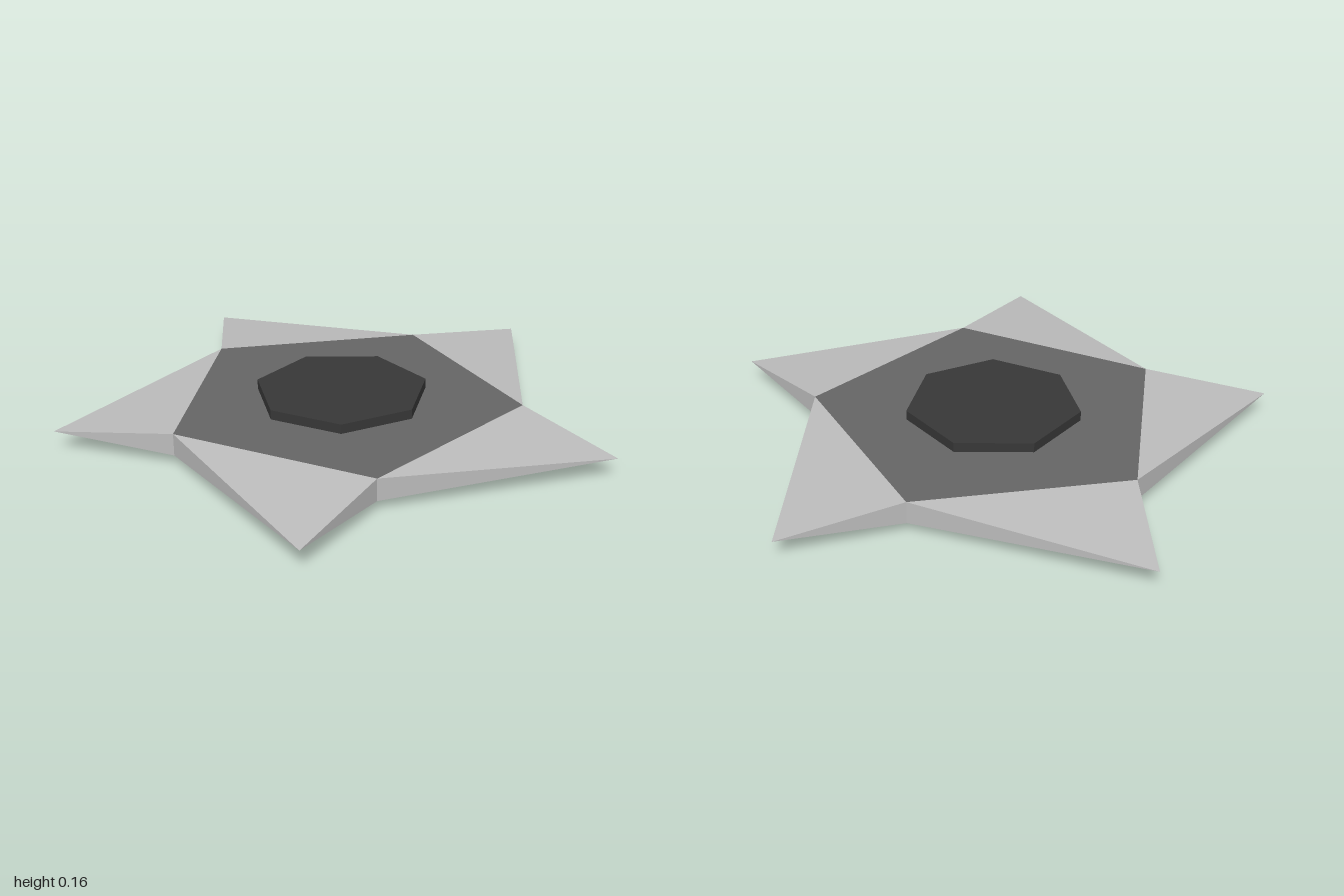
import * as THREE from 'three';

const CENTRE_X = -0.097, MID_Y = 0.078, HALF = 0.042;
const BODY_R = 0.667, TIP_R = 1.048, HUB_R = 0.322;
const STEP = (Math.PI * 2) / 5;

// point on a circle, angle measured clockwise from the back
const polar = (r, a, y) => [r * Math.sin(a), y, -r * Math.cos(a)];

// swept blade: four faces running from one side of the body to a single tip
function bladeGeometry() {
  const a = polar(BODY_R, 0, HALF), aLow = polar(BODY_R, 0, -HALF);
  const b = polar(BODY_R, STEP, HALF), bLow = polar(BODY_R, STEP, -HALF);
  const tip = polar(TIP_R, THREE.MathUtils.degToRad(17.1), 0);
  const faces = [b, tip, a, aLow, tip, bLow, a, tip, aLow, bLow, tip, b];
  const geometry = new THREE.BufferGeometry();
  geometry.setAttribute('position', new THREE.Float32BufferAttribute(faces.flat(), 3));
  geometry.computeVertexNormals();
  return geometry;
}

export function createModel() {
  const steel = new THREE.MeshStandardMaterial({ name: 'light steel', color: 0xbcbcbc, flatShading: true });
  const iron = new THREE.MeshStandardMaterial({ name: 'dark iron', color: 0x666666, flatShading: true });
  const black = new THREE.MeshStandardMaterial({ name: 'near black', color: 0x373737, flatShading: true });

  const model = new THREE.Group();
  model.name = 'throwingStar';
  model.position.set(CENTRE_X, MID_Y, 0);

  // upright prism with one corner pointing to the back
  const prism = (name, r, height, sides, material) => {
    const mesh = new THREE.Mesh(
      new THREE.CylinderGeometry(r, r, height, sides, 1, false, Math.PI), material);
    mesh.name = name;
    model.add(mesh);
  };
  prism('body', BODY_R, HALF * 2, 5, iron);
  prism('hub', HUB_R, MID_Y * 2, 7, black);

  // five blades around the body
  const blade = bladeGeometry();
  for (let i = 0; i < 5; i++) {
    const mesh = new THREE.Mesh(blade, steel);
    mesh.name = `blade${i + 1}`;
    mesh.rotation.y = -i * STEP;
    model.add(mesh);
  }

  const root = new THREE.Group();
  root.name = 'model';
  root.add(model);
  return root;
}
